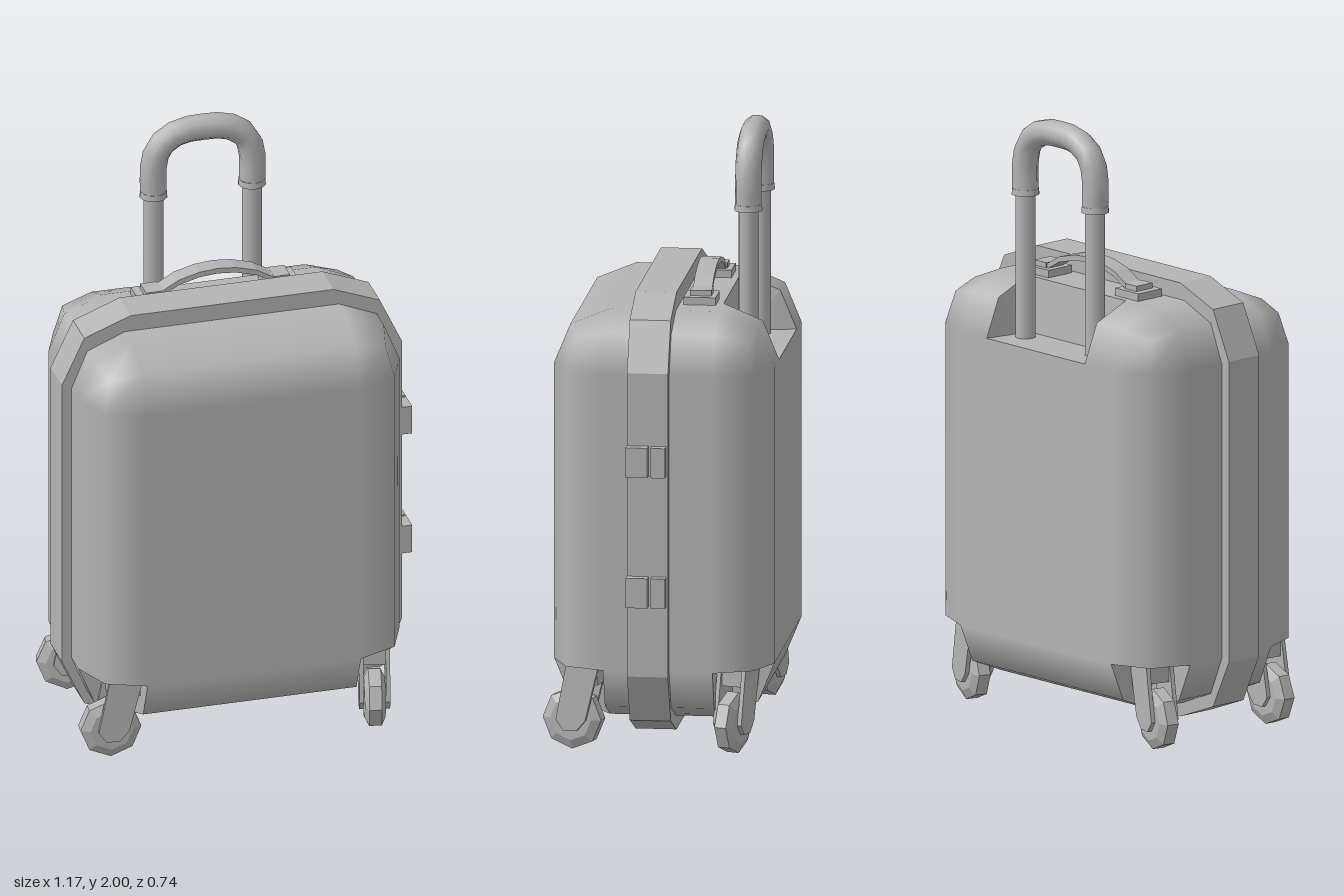
import * as THREE from 'three';
import { RoundedBoxGeometry } from 'three/addons/geometries/RoundedBoxGeometry.js';

const gray = new THREE.MeshStandardMaterial({ color: 0xb4b4b4, side: THREE.DoubleSide });
gray.name = 'plain gray';

function add(parent, name, geometry, x = 0, y = 0, z = 0) {
  const mesh = new THREE.Mesh(geometry, gray);
  mesh.name = name;
  mesh.position.set(x, y, z);
  parent.add(mesh);
  return mesh;
}

// Flat-shaded surface from fans of points
function fans(list) {
  const pos = [];
  for (const f of list)
    for (let i = 1; i < f.length - 1; i++)
      for (const p of [f[0], f[i], f[i + 1]]) pos.push(p.x, p.y, p.z);
  const g = new THREE.BufferGeometry();
  g.setAttribute('position', new THREE.Float32BufferAttribute(pos, 3));
  g.computeVertexNormals();
  return g;
}

function extrude(points, depth) {
  const shape = new THREE.Shape(points.map(([x, y]) => new THREE.Vector2(x, y)));
  return new THREE.ExtrudeGeometry(shape, { depth, bevelEnabled: false });
}

const CX = -0.0175;            // model's middle line
const R = 0.18;                // shell rounding
const IN = new THREE.Vector3(0.3575, 0.4875, 0.1775); // half size inside the rounding
const V = (x, y, z) => new THREE.Vector3(x, y, z);
const STEPS = [0, Math.PI / 4, Math.PI / 2];

function buildShell() {
  const shell = new THREE.Group();
  shell.name = 'shell';
  shell.position.set(CX, 0.7675, -0.0175);

  // Rounded box without its lower corners and its upper back edge
  const box = new RoundedBoxGeometry(1.075, 1.335, 0.715, 1, R);
  const p = box.attributes.position, n = box.attributes.normal;
  const pos = [], nor = [];
  for (let i = 0; i < p.count; i += 3) {
    const c = V(0, 0, 0);
    for (let k = 0; k < 3; k++) c.add(V(p.getX(i + k), p.getY(i + k), p.getZ(i + k)).divideScalar(3));
    const e = 0.005;
    const outX = Math.abs(c.x) > IN.x + e;
    const lowCorner = outX && c.y < -IN.y - e && Math.abs(c.z) > IN.z + e;
    const backEdge = !outX && c.y > IN.y + e && c.z < -IN.z - e;
    if (lowCorner || backEdge) continue;
    for (let k = 0; k < 3; k++) {
      pos.push(p.getX(i + k), p.getY(i + k), p.getZ(i + k));
      nor.push(n.getX(i + k), n.getY(i + k), n.getZ(i + k));
    }
  }
  const g = new THREE.BufferGeometry();
  g.setAttribute('position', new THREE.Float32BufferAttribute(pos, 3));
  g.setAttribute('normal', new THREE.Float32BufferAttribute(nor, 3));
  add(shell, 'caseBody', g);

  // Rounded back edge on both sides of the handle recess
  const half = 0.2325;
  for (const s of [-1, 1]) {
    const strip = new THREE.CylinderGeometry(R, R, IN.x - half, 2, 1, true, Math.PI / 2, Math.PI / 2);
    strip.rotateZ(Math.PI / 2);
    add(shell, 'backEdge', strip, s * (IN.x + half) / 2, IN.y, -IN.z);
  }

  // Handle recess: side walls, floor and inner wall
  const arc = s => STEPS.map(t => V(s * half, IN.y + R * Math.cos(t), -IN.z - R * Math.sin(t)));
  const inner = s => V(s * (half - 0.03), IN.y, -IN.z - 0.02);
  const [l, r] = [arc(-1), arc(1)];
  add(shell, 'handleRecess', fans([
    [inner(-1), ...l], [inner(1), ...r],
    [l[2], r[2], inner(1), inner(-1)],
    [inner(-1), inner(1), r[0], l[0]],
  ]));

  // Wheel pockets: three inward faces at each lower corner
  for (const sx of [-1, 1]) for (const sz of [-1, 1]) {
    const c = V(sx * IN.x, -IN.y, sz * IN.z);
    const [ax, ay, az] = [V(sx, 0, 0), V(0, -1, 0), V(0, 0, sz)];
    const face = (a, b) => [c, ...STEPS.map(t =>
      c.clone().addScaledVector(a, R * Math.cos(t)).addScaledVector(b, R * Math.sin(t)))];
    add(shell, 'wheelPocket', fans([face(ax, ay), face(ay, az), face(az, ax)]));
  }
  return shell;
}

// Caster: local +x is the way it trails, the axle runs along z
function buildCaster(x, z, dx, dz) {
  const caster = new THREE.Group();
  caster.name = 'caster';
  caster.position.set(x, 0.1, z);
  caster.rotation.y = Math.atan2(-dz, dx);
  const profile = [[0, -0.034], [0.07, -0.034], [0.1, -0.02], [0.1, 0.02], [0.07, 0.034], [0, 0.034]];
  const wheel = new THREE.LatheGeometry(profile.map(q => new THREE.Vector2(...q)), 8).toNonIndexed();
  wheel.computeVertexNormals();
  wheel.rotateX(Math.PI / 2);
  add(caster, 'wheel', wheel);
  const arm = [[-0.1, 0.18], [-0.055, 0], [-0.025, -0.035], [0.02, -0.035], [0.045, 0], [0.01, 0.18]];
  for (const s of [-1, 1]) add(caster, 'forkArm', extrude(arm, 0.014), 0, 0, s * 0.043 - 0.007);
  add(caster, 'forkTop', new THREE.BoxGeometry(0.1, 0.06, 0.08), -0.043, 0.148, 0);
  return caster;
}

export function createModel() {
  const model = new THREE.Group();
  model.name = 'suitcase';
  model.add(buildShell());

  // Raised band around the middle
  const quarter = [[0.57, 0.5], [0.495, 0.66], [0.34, 0.72]];
  const flip = (sx, sy) => quarter.map(([x, y]) => [sx * x, sy * y]);
  const outline = [...flip(1, 1), ...flip(-1, 1).reverse(), ...flip(-1, -1), ...flip(1, -1).reverse()];
  add(model, 'middleBand', extrude(outline, 0.133), CX, 0.77, -0.055);

  // Pull handle: two poles and a bent grip
  const hz = -0.267;
  for (const s of [-1, 1]) {
    const x = CX + s * 0.165;
    add(model, 'handlePole', new THREE.CylinderGeometry(0.033, 0.033, 0.53, 12), x, 1.52, hz);
    add(model, 'gripCollar', new THREE.CylinderGeometry(0.044, 0.046, 0.02, 12), x, 1.74, hz);
  }
  const bend = [[-0.165, 1.735], [-0.165, 1.84], [-0.145, 1.905], [-0.085, 1.948], [0, 1.957],
    [0.085, 1.948], [0.145, 1.905], [0.165, 1.84], [0.165, 1.735]];
  const path = new THREE.CatmullRomCurve3(bend.map(([x, y]) => V(x, y, 0)), false, 'centripetal');
  add(model, 'handleGrip', new THREE.TubeGeometry(path, 14, 0.043, 10), CX, 0, hz);

  // Carry handle on top: arched strap on two stepped pads
  const strapTop = [[-0.24, 1.468], [-0.18, 1.478], [-0.13, 1.507], [-0.06, 1.526], [0, 1.531],
    [0.06, 1.526], [0.13, 1.507], [0.18, 1.478], [0.24, 1.468]];
  const strapBottom = strapTop.map(([x, y]) => [x, y - 0.018]).reverse();
  add(model, 'carryStrap', extrude([...strapTop, ...strapBottom], 0.062), CX, 0, -0.152);
  for (const s of [-1, 1]) {
    add(model, 'strapPad', new THREE.BoxGeometry(0.11, 0.03, 0.104), CX + s * 0.213, 1.445, -0.121);
    add(model, 'strapEnd', new THREE.BoxGeometry(0.055, 0.025, 0.07), CX + s * 0.214, 1.465, -0.121);
  }

  // Latches on the side of the band
  for (const y of [0.982, 0.552]) {
    add(model, 'latchFront', new THREE.BoxGeometry(0.035, 0.098, 0.07), 0.5685, y, 0.043);
    add(model, 'latchBack', new THREE.BoxGeometry(0.035, 0.098, 0.047), 0.5685, y, -0.026);
  }

  // Four swivelled casters
  model.add(buildCaster(0.405, 0.268, -0.22, 0.97));
  model.add(buildCaster(-0.472, 0.235, -1, -0.08));
  model.add(buildCaster(-0.474, -0.26, -0.97, -0.24));
  model.add(buildCaster(0.42, -0.25, 0.93, 0.3));
  return model;
}
